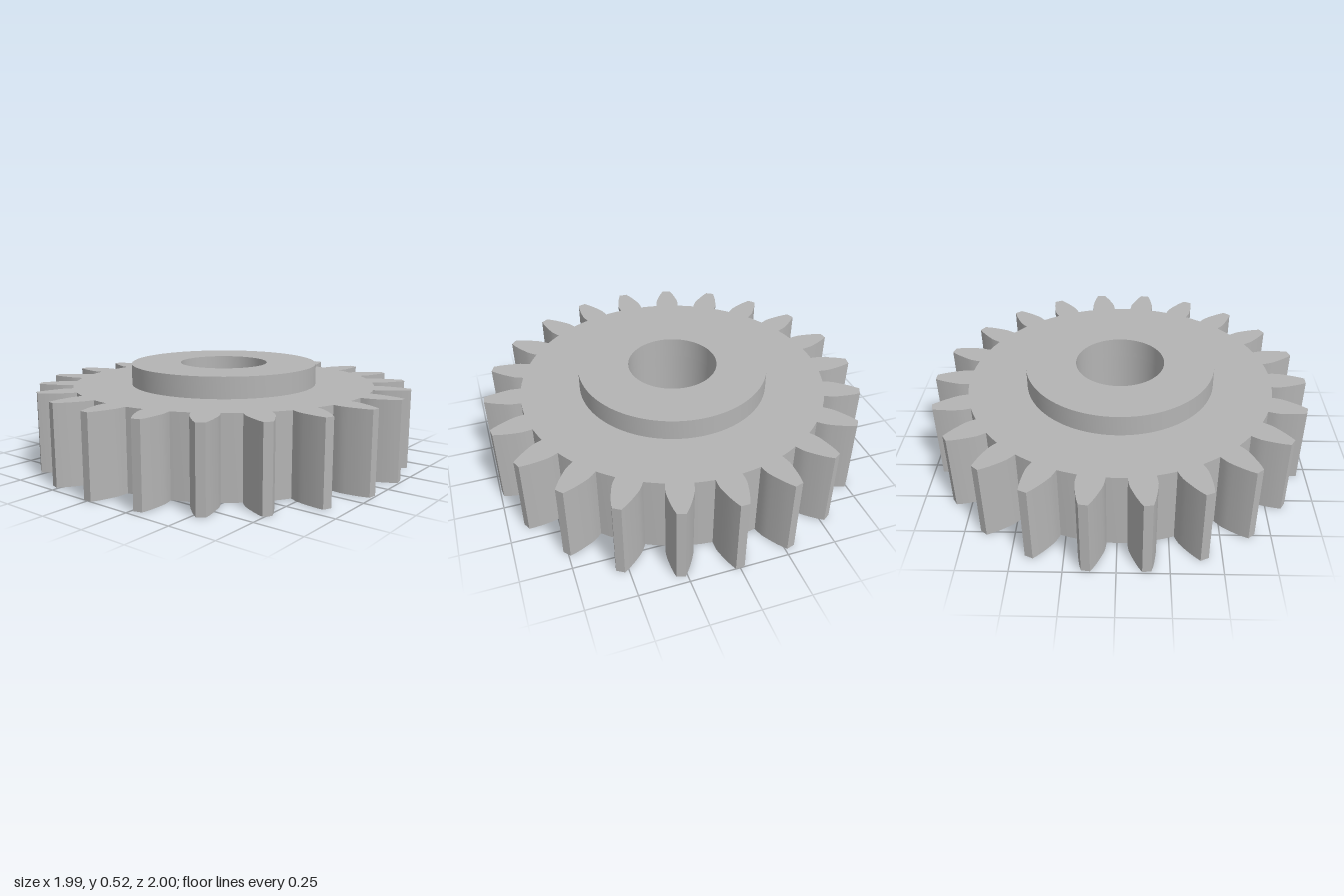
import * as THREE from 'three';
import { toCreasedNormals } from 'three/addons/utils/BufferGeometryUtils.js';

const TEETH = 22;
const BORE = 0.235, SHAFT_HOLE = 0.14, HUB = 0.5;
const LIP_TOP = 0.05, GEAR_TOP = 0.415, HUB_TOP = 0.525;

// Tooth flank from root to tip: [radius, half width]
const FLANK = [
  [0.812, 0.066], [0.84, 0.067], [0.865, 0.066], [0.89, 0.0605],
  [0.917, 0.053], [0.945, 0.0445], [0.972, 0.0345], [1.0, 0.022],
];

// Closed toothed outline, one tooth pointing straight to the front and back
function gearOutline() {
  const points = [];
  const add = (r, a) => points.push(new THREE.Vector2(r * Math.cos(a), r * Math.sin(a)));
  for (let i = 0; i < TEETH; i++) {
    const a = Math.PI / 2 + (i / TEETH) * Math.PI * 2;
    FLANK.forEach(([r, w]) => add(r, a - Math.asin(w / r)));
    [...FLANK].reverse().forEach(([r, w]) => add(r, a + Math.asin(w / r)));
    add(FLANK[0][0], a + Math.PI / TEETH); // middle of the root
  }
  return new THREE.Shape(points);
}

function disc(radius) {
  return new THREE.Shape().absarc(0, 0, radius, 0, Math.PI * 2, false);
}

// Upright slab with a round hole, between two heights
function slab(name, shape, hole, bottom, top, material) {
  shape.holes.push(new THREE.Path().absarc(0, 0, hole, 0, Math.PI * 2, true));
  const extruded = new THREE.ExtrudeGeometry(shape, {
    depth: top - bottom, bevelEnabled: false, curveSegments: 72,
  });
  extruded.rotateX(-Math.PI / 2).translate(0, bottom, 0);
  const mesh = new THREE.Mesh(toCreasedNormals(extruded, 0.4), material);
  mesh.name = name;
  return mesh;
}

export function createModel() {
  const group = new THREE.Group();
  group.name = 'spurGear';
  const steel = new THREE.MeshStandardMaterial({ color: 0xb4b4b4 });
  steel.name = 'greySteel';

  group.add(
    slab('toothedWheel', gearOutline(), BORE, 0, GEAR_TOP, steel),
    slab('raisedHub', disc(HUB), BORE, GEAR_TOP, HUB_TOP, steel),
    // Thin ledge at the foot of the bore, leaving the smaller shaft hole
    slab('boreLedge', disc(BORE), SHAFT_HOLE, 0, LIP_TOP, steel),
  );
  return group;
}
